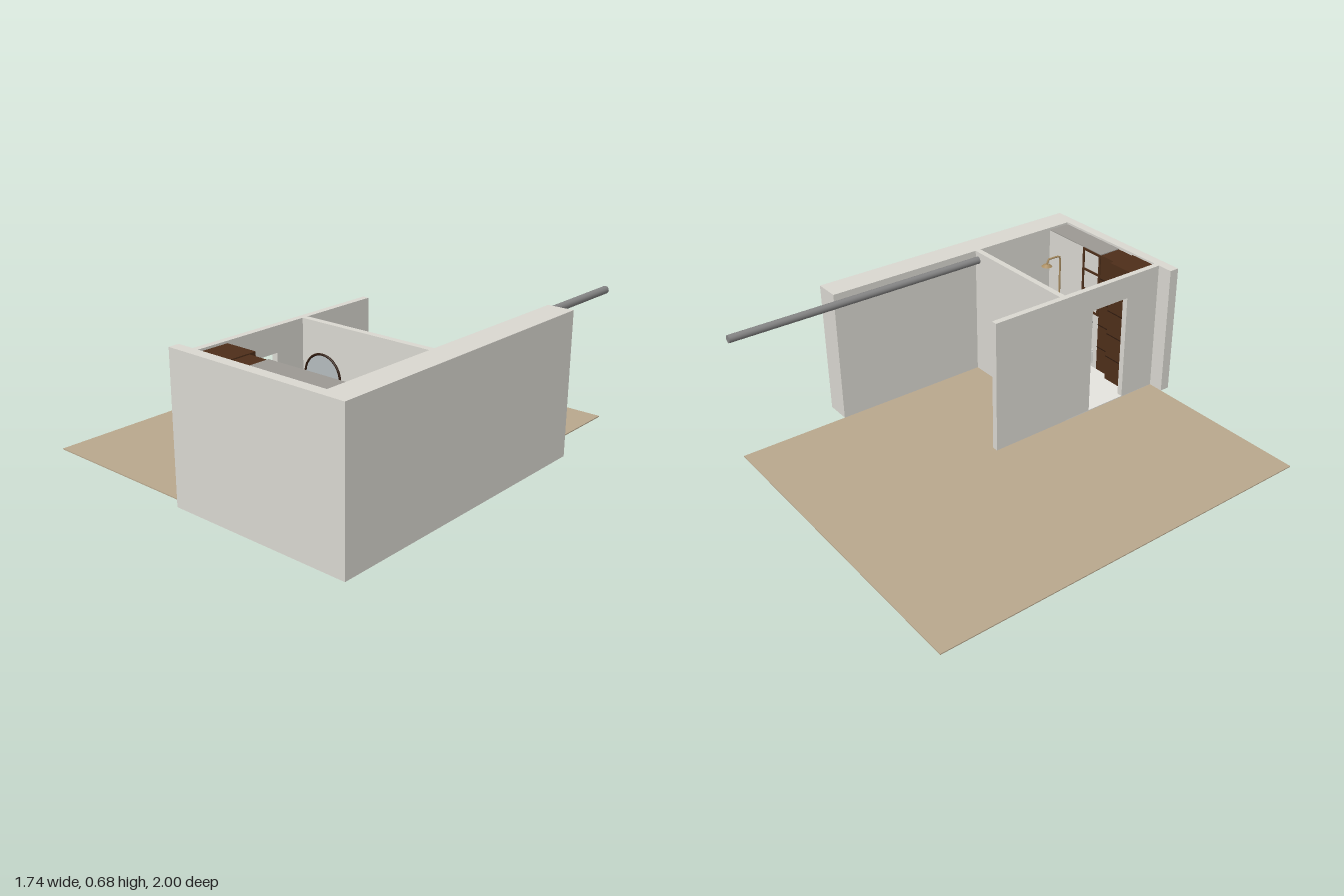
import * as THREE from 'three';

const mat = (name, color) => {
  const m = new THREE.MeshStandardMaterial({ color });
  m.name = name;
  return m;
};

export function createModel() {
  const model = new THREE.Group();
  model.name = 'bathroomCorner';
  const wall = mat('wall white', 0xd9d7d0);
  const tan = mat('floor tan', 0xb8a78d);
  const wood = mat('dark wood', 0x4e2e19);
  const seam = mat('wood seam', 0x2e1a0e);
  const ceramic = mat('ceramic white', 0xe4e3de);
  const metal = mat('pipe grey', 0x858585);
  const brass = mat('brass', 0xa98d62);
  const shaftGrey = mat('shaft grey', 0x9b9893);
  const glass = mat('mirror silver', 0xb4bbbe);

  const add = (name, geo, m, parent = model) => {
    const mesh = new THREE.Mesh(geo, m);
    mesh.name = name;
    parent.add(mesh);
    return mesh;
  };
  // Box from its minimum and maximum corners
  const box = (name, m, x0, x1, y0, y1, z0, z1, parent) => {
    const b = add(name, new THREE.BoxGeometry(x1 - x0, y1 - y0, z1 - z0), m, parent);
    b.position.set((x0 + x1) / 2, (y0 + y1) / 2, (z0 + z1) / 2);
    return b;
  };
  // Rounded rectangle in plan; plan y is minus z
  const plan = (x0, x1, z0, z1, r, Type = THREE.Shape) => {
    const s = new Type();
    const a = -z1, b = -z0;
    s.moveTo(x0 + r, a).lineTo(x1 - r, a).absarc(x1 - r, a + r, r, -Math.PI / 2, 0, false);
    s.lineTo(x1, b - r).absarc(x1 - r, b - r, r, 0, Math.PI / 2, false);
    s.lineTo(x0 + r, b).absarc(x0 + r, b - r, r, Math.PI / 2, Math.PI, false);
    s.lineTo(x0, a + r).absarc(x0 + r, a + r, r, Math.PI, Math.PI * 1.5, false);
    return s;
  };
  const slab = (name, m, shape, y0, y1, parent) => {
    const geo = new THREE.ExtrudeGeometry(shape, { depth: y1 - y0, bevelEnabled: false, curveSegments: 8 });
    geo.rotateX(-Math.PI / 2);
    const s = add(name, geo, m, parent);
    s.position.y = y0;
    return s;
  };
  const tube = (name, m, pts, r, parent) => add(name, new THREE.TubeGeometry(
    new THREE.CatmullRomCurve3(pts.map(p => new THREE.Vector3(...p)), false, 'catmullrom', 0.2), 24, r, 8), m, parent);
  const group = name => {
    const g = new THREE.Group();
    g.name = name;
    model.add(g);
    return g;
  };

  // Floors
  box('woodFloor', tan, -0.87, 0.74, 0, 0.005, -1, 0.95);
  box('bathroomFloor', ceramic, 0.055, 0.74, 0.005, 0.009, 0.38, 0.95);

  // Walls, with a doorway in the partition
  const H = 0.675, B = 0.005;
  const walls = group('walls');
  box('sideWall', wall, 0.74, 0.865, B, H, -0.46, 1, walls);
  box('frontWall', wall, -0.025, 0.74, B, H, 0.95, 1, walls);
  box('partitionLong', wall, 0.055, 0.085, B, H, -0.04, 0.53, walls);
  box('partitionShort', wall, 0.055, 0.085, B, H, 0.75, 0.95, walls);
  box('doorHeader', wall, 0.055, 0.085, 0.56, H, 0.53, 0.75, walls);
  box('crossWall', wall, 0.085, 0.74, B, H, 0.35, 0.38, walls);
  // Boxed service shaft behind the bath
  box('shaft', wall, 0.34, 0.74, 0.009, 0.66, 0.83, 0.95, walls);
  box('shaftTop', shaftGrey, 0.34, 0.74, 0.66, 0.664, 0.83, 0.95, walls);

  // Overhead pipe
  const pipe = add('overheadPipe', new THREE.CylinderGeometry(0.0185, 0.0185, 1.35, 20), metal);
  pipe.rotation.x = Math.PI / 2;
  pipe.position.set(0.72, 0.632, -0.325);

  // Tall cabinets with door seams
  const cab = group('cabinets');
  box('deepCabinet', wood, 0.085, 0.24, 0.009, 0.665, 0.8, 0.95, cab);
  box('shallowCabinet', wood, 0.24, 0.34, 0.009, 0.66, 0.83, 0.95, cab);
  for (const y of [0.14, 0.27, 0.4, 0.53]) {
    box('deepSeam', seam, 0.085, 0.24, y, y + 0.005, 0.798, 0.8, cab);
    box('shallowSeam', seam, 0.24, 0.34, y, y + 0.005, 0.828, 0.83, cab);
  }

  // Open shelf frame above the toilet
  const shelf = group('shelfFrame');
  for (const x of [0.34, 0.46]) box('shelfSide', wood, x, x + 0.012, 0.32, 0.66, 0.825, 0.858, shelf);
  for (const y of [0.32, 0.43, 0.54, 0.648]) box('shelfBoard', wood, 0.34, 0.472, y, y + 0.012, 0.826, 0.858, shelf);

  // Bath: rim with opening, and a floor inside
  const bath = group('bath');
  const rim = plan(0.54, 0.739, 0.381, 0.829, 0.004);
  rim.holes.push(plan(0.56, 0.725, 0.4, 0.81, 0.03, THREE.Path));
  slab('bathBody', ceramic, rim, 0.04, 0.15, bath);
  box('bathBase', ceramic, 0.54, 0.739, 0.009, 0.04, 0.381, 0.829, bath);

  // Shower column
  const shower = group('shower');
  tube('showerArm', brass, [[0.64, 0.3, 0.818], [0.64, 0.54, 0.818], [0.64, 0.555, 0.8], [0.64, 0.555, 0.74], [0.64, 0.53, 0.73]], 0.005, shower);
  const head = add('showerHead', new THREE.CylinderGeometry(0.012, 0.028, 0.012, 20), brass, shower);
  head.position.set(0.64, 0.526, 0.73);
  box('showerMixer', brass, 0.615, 0.665, 0.29, 0.31, 0.81, 0.83, shower);

  // Toilet with a tapered bowl and lid
  const toilet = group('toilet');
  const seat = new THREE.Shape();
  seat.moveTo(0.365, -0.828).lineTo(0.449, -0.828).lineTo(0.436, -0.715);
  seat.quadraticCurveTo(0.434, -0.7, 0.42, -0.7).lineTo(0.394, -0.7);
  seat.quadraticCurveTo(0.38, -0.7, 0.378, -0.715).closePath();
  slab('toiletBowl', ceramic, seat, 0.035, 0.105, toilet);
  slab('toiletLid', ceramic, seat, 0.107, 0.116, toilet);
  box('flushPlate', metal, 0.38, 0.435, 0.24, 0.275, 0.824, 0.83, toilet);

  // Washbasin and tap
  const basin = group('washbasin');
  const edge = plan(0.086, 0.31, 0.381, 0.5, 0.004);
  edge.holes.push(plan(0.11, 0.29, 0.41, 0.475, 0.012, THREE.Path));
  slab('basinRim', ceramic, edge, 0.195, 0.235, basin);
  box('basinBase', ceramic, 0.086, 0.31, 0.18, 0.195, 0.381, 0.5, basin);
  tube('basinTap', metal, [[0.2, 0.235, 0.396], [0.2, 0.275, 0.396], [0.2, 0.28, 0.41], [0.2, 0.27, 0.44]], 0.004, basin);

  // Round mirror with ring frame
  const mirror = group('mirror');
  const ring = add('mirrorFrame', new THREE.TorusGeometry(0.096, 0.005, 8, 40), seam, mirror);
  ring.position.set(0.2, 0.445, 0.386);
  const pane = add('mirrorPane', new THREE.CylinderGeometry(0.095, 0.095, 0.005, 40), glass, mirror);
  pane.rotation.x = Math.PI / 2;
  pane.position.set(0.2, 0.445, 0.3835);

  // Ladder towel rail
  const rail = group('towelRail');
  for (const x of [0.37, 0.475]) box('railPost', seam, x, x + 0.008, 0.2, 0.46, 0.382, 0.392, rail);
  for (let i = 0; i < 8; i++) {
    const y = 0.215 + i * 0.032;
    box('railBar', seam, 0.365, 0.488, y, y + 0.008, 0.39, 0.399, rail);
  }

  return model;
}
